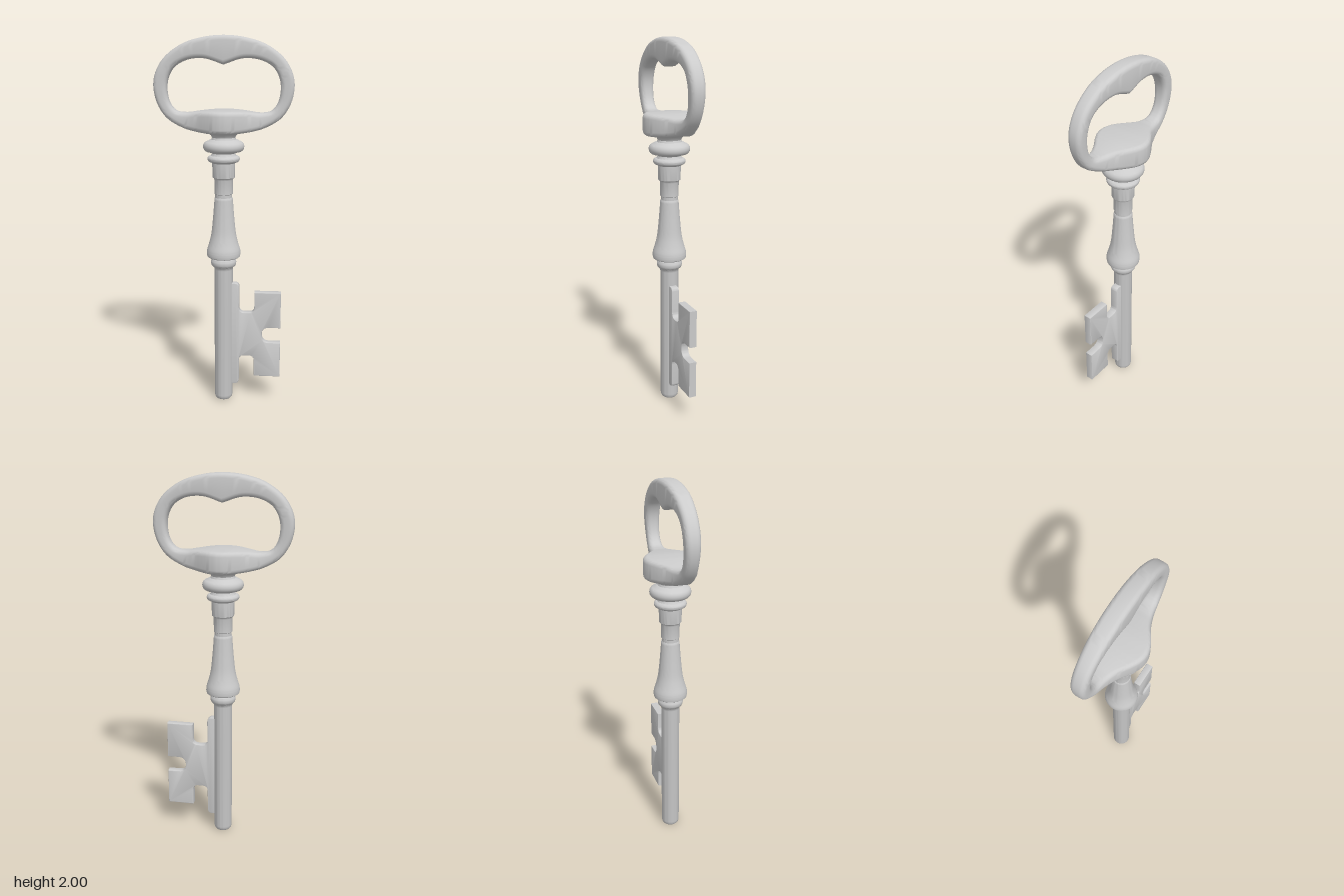
import * as THREE from 'three';
import { toCreasedNormals } from 'three/addons/utils/BufferGeometryUtils.js';

const material = new THREE.MeshStandardMaterial({ color: 0xcccccc });

function addMesh(group, name, geometry) {
  const mesh = new THREE.Mesh(geometry, material);
  mesh.name = name;
  group.add(mesh);
}

// Handle loop: outer x, outer y, inner x, inner y, half depth, from top centre to bottom centre
const BOW = [
  [0, 2.0, 0, 1.853, 0.047],
  [0.12, 1.987, 0.10, 1.884, 0.046],
  [0.22, 1.953, 0.19, 1.876, 0.043],
  [0.31, 1.885, 0.255, 1.84, 0.04],
  [0.354, 1.81, 0.287, 1.785, 0.039],
  [0.365, 1.74, 0.294, 1.72, 0.037],
  [0.345, 1.65, 0.278, 1.655, 0.035],
  [0.295, 1.578, 0.245, 1.618, 0.038],
  [0.21, 1.53, 0.19, 1.609, 0.05],
  [0.15, 1.515, 0.14, 1.614, 0.072],
  [0.09, 1.508, 0.09, 1.618, 0.107],
  [0.045, 1.505, 0.045, 1.62, 0.131],
  [0, 1.504, 0, 1.62, 0.14],
];

function bowGeometry() {
  const mirrored = BOW.slice(1, -1).reverse().map(([a, b, c, d, e]) => [-a, b, -c, d, e]);
  const stations = [...BOW, ...mirrored];
  const outer = new THREE.CatmullRomCurve3(
    stations.map(s => new THREE.Vector3(s[0], s[1], s[4])), true);
  // open at the top so the inner edge keeps its cusp
  const inner = new THREE.CatmullRomCurve3(
    [...stations, BOW[0]].map(s => new THREE.Vector3(s[2], s[3], 0)));

  const steps = stations.length * 6, arc = 5, ring = arc * 4;
  const positions = [], indices = [];
  for (let i = 0; i < steps; i++) {
    const o = outer.getPoint(i / steps), n = inner.getPoint(i / steps);
    const depth = o.z;
    o.z = 0;
    const centre = o.clone().add(n).multiplyScalar(0.5);
    const half = o.distanceTo(n) / 2;
    const out = o.clone().sub(n).normalize();
    const r = Math.min(0.024, half * 0.8, depth * 0.8);
    // rounded rectangle section
    for (let q = 0; q < 4; q++) {
      const su = q === 0 || q === 3 ? 1 : -1, sv = q < 2 ? 1 : -1;
      for (let k = 0; k < arc; k++) {
        const a = (q + k / (arc - 1)) * Math.PI / 2;
        const u = su * (half - r) + r * Math.cos(a);
        const v = sv * (depth - r) + r * Math.sin(a);
        positions.push(centre.x + out.x * u, centre.y + out.y * u, v);
      }
    }
    for (let j = 0; j < ring; j++) {
      const a = i * ring + j, b = i * ring + (j + 1) % ring;
      const next = ((i + 1) % steps) * ring;
      const c = next + j, d = next + (j + 1) % ring;
      indices.push(a, b, c, b, d, c);
    }
  }
  const geometry = new THREE.BufferGeometry();
  geometry.setAttribute('position', new THREE.Float32BufferAttribute(positions, 3));
  geometry.setIndex(indices);
  return toCreasedNormals(geometry, 0.6);
}

function lathe(points) {
  const profile = points.map(([r, y]) => new THREE.Vector2(r, y));
  return toCreasedNormals(new THREE.LatheGeometry(profile, 48), 0.7);
}

// Half-round bead points between two heights
function bead(radius, bulge, y0, y1) {
  return Array.from({ length: 9 }, (_, i) => {
    const a = (i / 8 - 0.5) * Math.PI;
    return [radius + bulge * Math.cos(a), (y0 + y1) / 2 + (y1 - y0) / 2 * Math.sin(a)];
  });
}

// Polygon whose corners [x, y, radius] are rounded
function roundedShape(corners) {
  const shape = new THREE.Shape();
  corners.forEach(([x, y, r = 0], i) => {
    const p = new THREE.Vector2(x, y);
    const towards = ([qx, qy]) =>
      new THREE.Vector2(qx, qy).sub(p).setLength(r).add(p);
    const a = towards(corners.at(i - 1)), b = towards(corners[(i + 1) % corners.length]);
    if (i === 0) shape.moveTo(a.x, a.y);
    else shape.lineTo(a.x, a.y);
    if (r) shape.quadraticCurveTo(x, y, b.x, b.y);
  });
  shape.closePath();
  return shape;
}

function bitGeometry() {
  const shape = roundedShape([
    [0.02, 0.095], [0.086, 0.095, 0.025],
    [0.086, 0.265, 0.03], [0.17, 0.265, 0.03], [0.17, 0.145],
    [0.315, 0.145], [0.315, 0.345], [0.212, 0.345, 0.04], [0.212, 0.432, 0.04],
    [0.315, 0.432], [0.315, 0.635],
    [0.17, 0.635], [0.17, 0.517, 0.03], [0.086, 0.517, 0.03],
    [0.086, 0.685, 0.025], [0.02, 0.685],
  ]);
  const geometry = new THREE.ExtrudeGeometry(shape, {
    depth: 0.034, curveSegments: 8,
    bevelEnabled: true, bevelSize: 0.004, bevelThickness: 0.004, bevelOffset: -0.004, bevelSegments: 2,
  });
  geometry.translate(0, 0, -0.017);
  return toCreasedNormals(geometry, 0.5);
}

export function createModel() {
  const key = new THREE.Group();
  key.name = 'key';

  addMesh(key, 'bow', bowGeometry());

  // plain rod with a rounded tip
  addMesh(key, 'shank', lathe([
    [0, 0], [0.03, 0], [0.04, 0.004], [0.047, 0.013], [0.05, 0.028], [0.05, 0.76],
    [0.052, 0.772], [0.057, 0.778],
    ...bead(0.058, 0.011, 0.78, 0.825), [0.056, 0.835], [0, 0.835],
  ]));

  // flared grip
  const flare = new THREE.SplineCurve([
    [0.092, 0.852], [0.089, 0.875], [0.077, 0.915], [0.066, 0.965],
    [0.058, 1.04], [0.053, 1.1], [0.049, 1.155],
  ].map(p => new THREE.Vector2(...p))).getPoints(24).map(p => [p.x, p.y]);
  addMesh(key, 'flaredStem', lathe([
    [0, 0.83], [0.08, 0.83], [0.089, 0.836], ...flare, [0.046, 1.16], [0, 1.16],
  ]));

  // stepped bands above the grip
  addMesh(key, 'upperStem', lathe([
    [0, 1.15], [0.045, 1.15], [0.045, 1.177], [0.049, 1.18], [0.05, 1.255],
    [0.053, 1.264], [0.059, 1.268], [0.061, 1.345], [0, 1.345],
  ]));

  // ringed collar flaring out under the bow
  addMesh(key, 'collar', lathe([
    [0, 1.34], [0.062, 1.345], ...bead(0.068, 0.018, 1.35, 1.384),
    [0.064, 1.39], [0.062, 1.397], [0.068, 1.403],
    ...bead(0.085, 0.024, 1.405, 1.46),
    [0.078, 1.466], [0.066, 1.47], [0.062, 1.48], [0.066, 1.49],
    [0.078, 1.5], [0.1, 1.508], [0.1, 1.53], [0, 1.53],
  ]));

  addMesh(key, 'bit', bitGeometry());
  return key;
}
